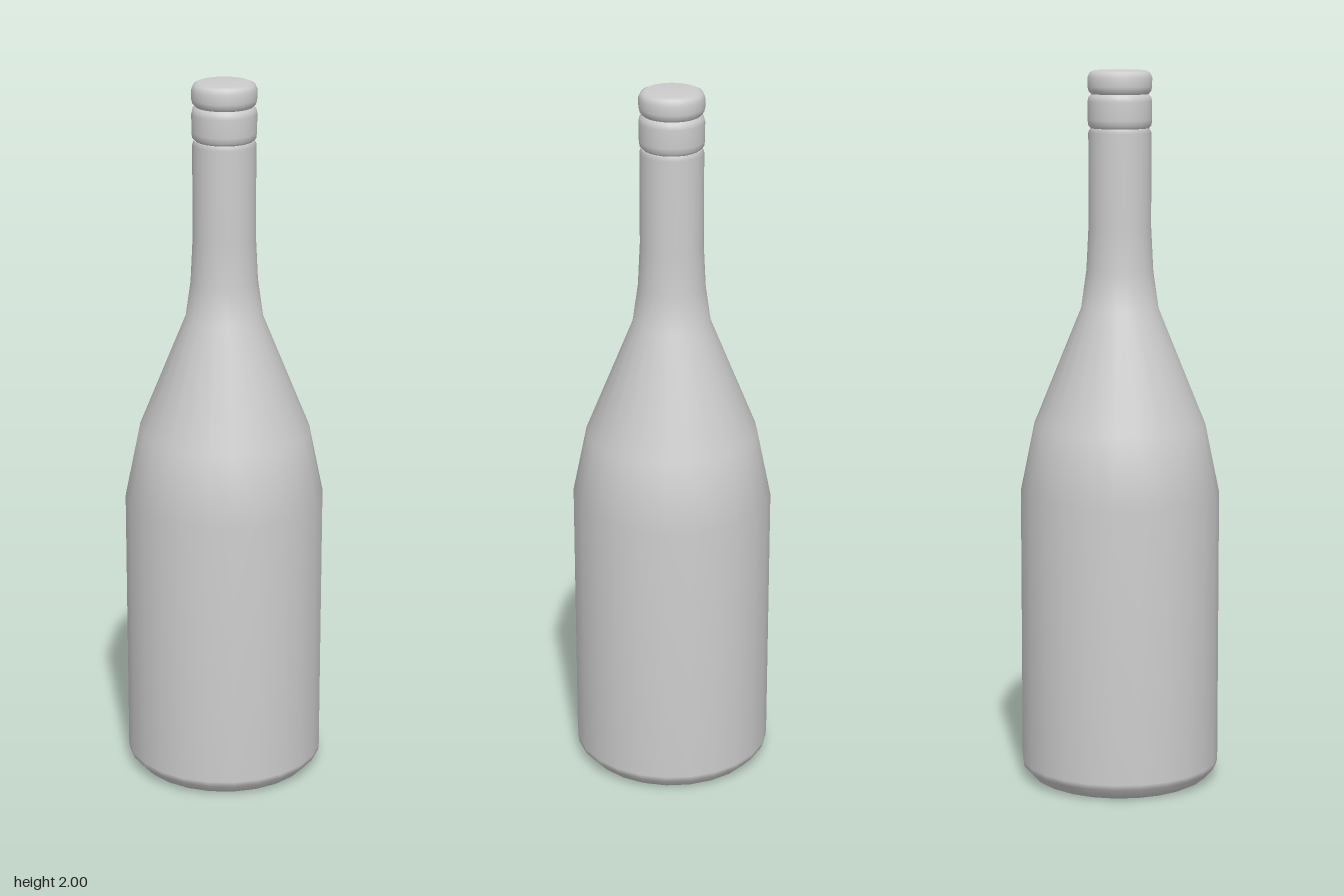
import * as THREE from 'three';

const SIDES = 24;

export function createModel() {
  const model = new THREE.Group();
  const grey = new THREE.MeshStandardMaterial({ color: 0xcccccc });
  grey.name = 'light grey';

  // Revolves a profile of [radius, height] pairs, with vertices on the x and z axes
  const turn = (name, profile) => {
    const points = profile.map(([r, y]) => new THREE.Vector2(r, y));
    const mesh = new THREE.Mesh(new THREE.LatheGeometry(points, SIDES), grey);
    mesh.name = name;
    model.add(mesh);
  };

  // Hollow underside, from the centre of the dome out to the standing rim
  turn('hollowBase', [
    [0, 0.13], [0.05, 0.122], [0.1, 0.1], [0.15, 0.068], [0.2, 0.025], [0.225, 0.006], [0.24, 0],
  ]);

  // Body, sloping shoulder and neck
  turn('bottle', [
    [0.24, 0], [0.252, 0.006], [0.278, 0.035], [0.28, 0.05], [0.28, 0.825],
    [0.24, 1.02], [0.108, 1.345], [0.093, 1.45], [0.087, 1.57],
    [0.087, 1.83], [0.082, 1.842],
  ]);

  // Ring below the lip
  turn('neckRing', [
    [0.08, 1.842], [0.087, 1.85], [0.089, 1.865], [0.089, 1.915], [0.086, 1.928], [0.079, 1.935],
  ]);

  // Rounded lip with a closed top
  turn('cap', [
    [0.079, 1.935], [0.086, 1.943], [0.089, 1.955], [0.089, 1.98], [0.083, 1.994], [0.07, 2], [0, 2],
  ]);

  return model;
}
